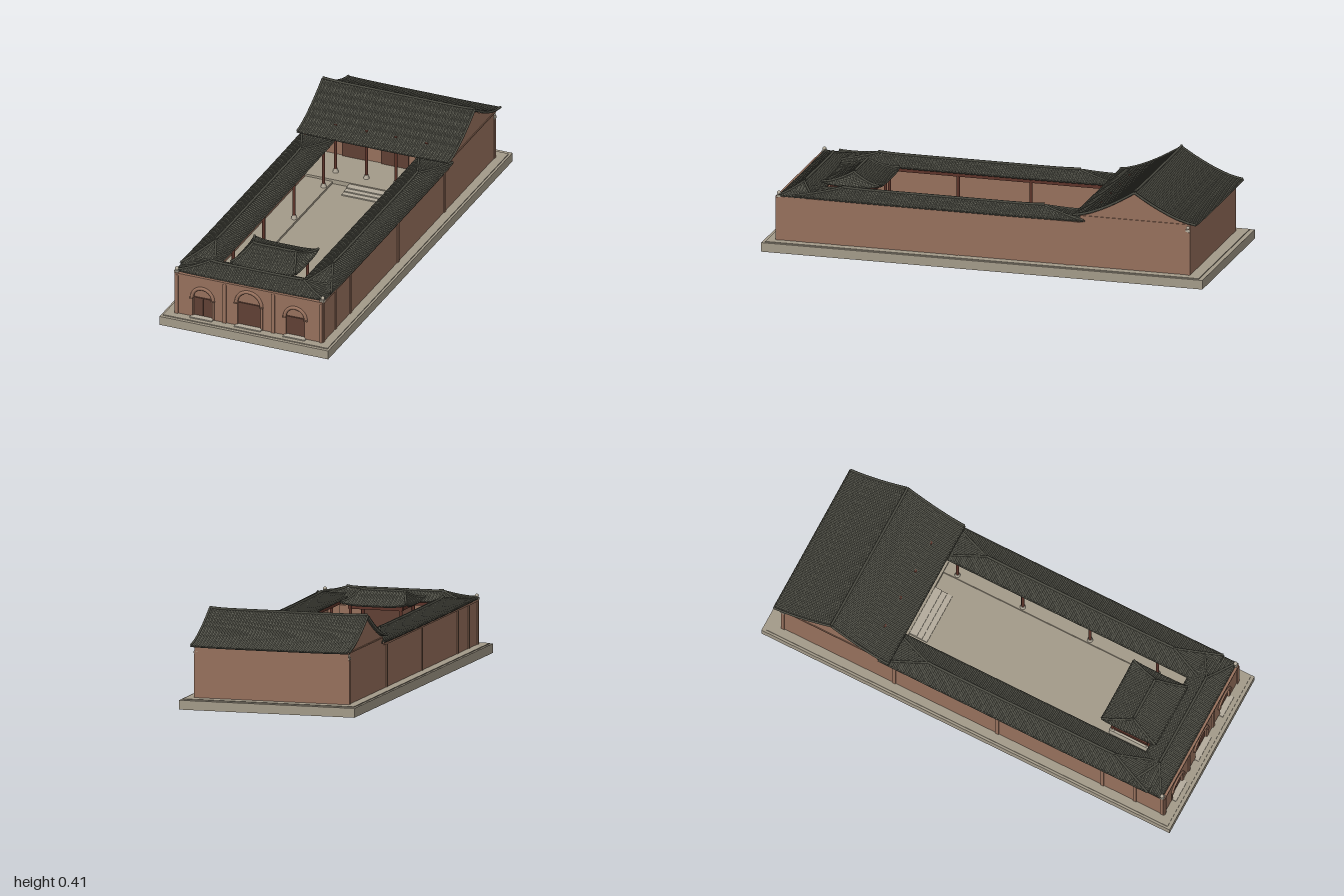
import * as THREE from 'three';
import { mergeGeometries } from 'three/addons/utils/BufferGeometryUtils.js';
import { ParametricGeometry } from 'three/addons/geometries/ParametricGeometry.js';

const mat = (name, color, extra = {}) => Object.assign(new THREE.MeshStandardMaterial({ color, ...extra }), { name });
const M = {
  stone: mat('stone', 0xa39a89),
  paleStone: mat('pale stone', 0xb4ac9c),
  wall: mat('plaster wall', 0x96705c),
  door: mat('door wood', 0x5f4034),
  timber: mat('red timber', 0x5c3329),
  pan: mat('roof pan', 0x53534a, { side: THREE.DoubleSide }),
  tile: mat('tile rib', 0x5f5f54),
  ridge: mat('ridge tile', 0x4b4b42),
};

function add(parent, name, geometry, material, x = 0, y = 0, z = 0) {
  const m = new THREE.Mesh(geometry, material);
  m.name = name;
  m.position.set(x, y, z);
  parent.add(m);
  return m;
}

// box from its lower and upper corners
function block(parent, name, material, [x0, y0, z0], [x1, y1, z1]) {
  return add(parent, name, new THREE.BoxGeometry(x1 - x0, y1 - y0, z1 - z0), material,
    (x0 + x1) / 2, (y0 + y1) / 2, (z0 + z1) / 2);
}

const tube = (points, radius, sides = 5) =>
  new THREE.TubeGeometry(new THREE.CatmullRomCurve3(points), points.length + 1, radius, sides);

// Curved tiled roof with its ridge along x. W and L are half depth and half length,
// inset is how far the hips run in from each end (0 gives a gable roof).
function roof(parent, name, { W, L, inset, eave, top, power = 1.5, lift = 0, pitch = 0.0145, cap = 0.006 }) {
  const g = new THREE.Group();
  g.name = name;
  parent.add(g);
  const height = (t, s) => eave + (top - eave) * t ** power + lift * s ** 4 * (1 - t) ** 2;
  const slopePoint = (v, t, side) => {
    const s = Math.min(1, Math.abs(v) / (L - inset * t));
    return new THREE.Vector3(v, height(t, s), side * W * (1 - t));
  };
  const endPoint = (u, t, side) => {
    const s = t > 0.999 ? 0 : Math.min(1, Math.abs(u) / (W * (1 - t)));
    return new THREE.Vector3(side * (L - inset * t), height(t, s), u);
  };
  const range = (a, b, n) => Array.from({ length: n + 1 }, (_, i) => a + (b - a) * i / n);
  const pans = [], ribs = [], caps = [];

  for (const side of [-1, 1]) {
    // long slopes and their ribs
    pans.push(new ParametricGeometry((a, t, p) =>
      p.copy(slopePoint((2 * a - 1) * (L - inset * t), t, side)), 20, 8));
    const n = Math.round(2 * L / pitch);
    for (let i = 0; i <= n; i++) {
      const v = -L + 2 * L * i / n;
      const tMax = inset ? Math.min(1, (L - Math.abs(v)) / inset) : 1;
      if (tMax > 0.08) ribs.push(tube(range(0, tMax, 5).map(t => slopePoint(v, t, side)), 0.0042));
    }
    // hipped ends and their ribs
    if (inset) {
      pans.push(new ParametricGeometry((a, t, p) =>
        p.copy(endPoint((2 * a - 1) * W * (1 - t), t, side)), 10, 8));
      const m = Math.round(2 * W / pitch);
      for (let i = 1; i < m; i++) {
        const u = -W + 2 * W * i / m;
        ribs.push(tube(range(0, 1 - Math.abs(u) / W, 5).map(t => endPoint(u, t, side)), 0.0042));
      }
    }
    // hip or verge caps
    for (const end of [-1, 1]) {
      caps.push(tube(range(0, 1, 7).map(t =>
        slopePoint(end * (L - inset * t), t, side).add(new THREE.Vector3(0, cap * 0.5, 0))), cap * 0.9, 6));
    }
    // eave edges
    caps.push(tube(range(-L, L, 16).map(v => slopePoint(v, 0, side)), 0.004, 4));
    if (inset) caps.push(tube(range(-W, W, 8).map(u => endPoint(u, 0, side)), 0.004, 4));
  }
  // main ridge with slightly raised ends
  const R = L - inset;
  caps.push(tube(range(-R, R, 16).map(v =>
    new THREE.Vector3(v, top + cap * 0.5 + 0.005 * Math.abs(v / R) ** 10, 0)), cap, 6));

  pans.forEach(p => p.computeVertexNormals());
  add(g, 'roofPans', mergeGeometries(pans), M.pan);
  add(g, 'roofRibs', mergeGeometries(ribs), M.tile);
  add(g, 'ridgeCaps', mergeGeometries(caps), M.ridge);
  return g;
}

function column(parent, x, z, y0, y1) {
  const g = new THREE.Group();
  g.name = 'column';
  g.position.set(x, y0, z);
  parent.add(g);
  add(g, 'columnBase', new THREE.CylinderGeometry(0.009, 0.013, 0.018, 10), M.paleStone, 0, 0.009);
  add(g, 'columnShaft', new THREE.CylinderGeometry(0.007, 0.007, y1 - y0, 10), M.timber, 0, (y1 - y0) / 2);
}

export function createModel() {
  const model = new THREE.Group();
  model.name = 'courtyardTemple';

  // Plinth
  block(model, 'plinth', M.stone, [-0.4, 0, -1], [0.4, 0.041, 1]);
  block(model, 'plinthTop', M.stone, [-0.39, 0.041, -0.98], [0.39, 0.045, 0.985]);

  // Front wall with arched openings: [centre x, half width, spring height]
  const doors = [[-0.22, 0.044, 0.138], [0, 0.054, 0.157], [0.22, 0.044, 0.138]];
  const front = new THREE.Shape();
  front.moveTo(-0.35, 0.045).lineTo(0.35, 0.045).lineTo(0.35, 0.24).lineTo(-0.35, 0.24).closePath();
  for (const [x, w, y] of doors) {
    const hole = new THREE.Path();
    hole.moveTo(x - w, 0.046).lineTo(x - w, y).absarc(x, y, w, Math.PI, 0, true);
    hole.lineTo(x + w, 0.046).closePath();
    front.holes.push(hole);
  }
  add(model, 'frontWall', new THREE.ExtrudeGeometry(front, { depth: 0.02, bevelEnabled: false, curveSegments: 20 }),
    M.wall, 0, 0, 0.925);
  for (const [x, w, y] of doors) {
    const g = new THREE.Group();
    g.name = 'doorway';
    g.position.set(x, 0, 0);
    model.add(g);
    block(g, 'archPanel', M.wall, [-w - 0.01, y, 0.918], [w + 0.01, y + w + 0.01, 0.934]);
    for (const s of [-1, 1]) {
      const leaf = [0.0005, w].map(v => v * s).sort((a, b) => a - b);
      block(g, 'doorLeaf', M.door, [leaf[0], 0.045, 0.922], [leaf[1], y, 0.937]);
      block(g, 'archFoot', M.wall, [s * (w + 0.007) - 0.008, y - 0.004, 0.94], [s * (w + 0.007) + 0.008, y + 0.002, 0.955]);
      block(g, 'jamb', M.wall, [s * (w + 0.007) - 0.005, 0.045, 0.94], [s * (w + 0.007) + 0.005, y, 0.947]);
    }
    block(g, 'lintel', M.door, [-w, y - 0.005, 0.93], [w, y, 0.941]);
    add(g, 'archMoulding', new THREE.TorusGeometry(w + 0.006, 0.008, 8, 24, Math.PI), M.wall, 0, y, 0.945);
    block(g, 'doorStep', M.paleStone, [-w - 0.008, 0.045, 0.925], [w + 0.008, 0.05, 0.965]);
  }
  for (const x of [-0.342, -0.115, 0.115, 0.342])
    block(model, 'frontPilaster', M.wall, [x - 0.008, 0.045, 0.94], [x + 0.008, 0.235, 0.951]);
  block(model, 'frontCornice', M.wall, [-0.35, 0.232, 0.92], [0.35, 0.243, 0.95]);

  // Back wall
  block(model, 'backWall', M.wall, [-0.35, 0.045, -0.93], [0.35, 0.272, -0.912]);

  // Rear hall roof and floor
  const hall = { W: 0.28, L: 0.36, inset: 0, eave: 0.272, top: 0.398, power: 1.45, lift: 0.003 };
  roof(model, 'hallRoof', hall).position.z = -0.68;
  block(model, 'hallFloor', M.stone, [-0.33, 0.045, -0.912], [0.33, 0.065, -0.42]);
  for (let i = 0; i < 3; i++)
    block(model, 'hallStep', M.paleStone, [-0.12, 0.045, -0.42], [0.12, 0.06 - i * 0.005, -0.385 + i * 0.025]);

  // Gable outline follows the hall roof
  const gable = new THREE.Shape();
  gable.moveTo(-0.93, 0.24).lineTo(-0.43, 0.24);
  for (let i = -8; i <= 8; i++) {
    const u = -i / 8 * 0.25;
    gable.lineTo(-0.68 + u, 0.266 + 0.126 * (1 - Math.abs(u) / hall.W) ** 1.45);
  }
  gable.closePath();

  for (const s of [-1, 1]) {
    const near = (a, b) => [s * a, s * b].sort((p, q) => p - q);
    const strip = (name, material, a, b, y0, y1, z0, z1) => {
      const [x0, x1] = near(a, b);
      return block(model, name, material, [x0, y0, z0], [x1, y1, z1]);
    };
    // Side walls, gables and pilasters
    strip('sideWall', M.wall, 0.33, 0.35, 0.045, 0.24, -0.93, 0.945);
    add(model, 'gableWall', new THREE.ExtrudeGeometry(gable, { depth: 0.02, bevelEnabled: false }).rotateY(-Math.PI / 2),
      M.wall, s > 0 ? 0.35 : -0.33);
    strip('gableBand', M.wall, 0.345, 0.354, 0.268, 0.274, -0.925, -0.44);
    strip('wallCoping', M.wall, 0.33, 0.354, 0.234, 0.243, -0.42, 0.94);
    for (const z of [-0.92, -0.375, 0.13, 0.645, 0.805, 0.937])
      strip('sidePilaster', M.wall, 0.345, 0.354, 0.045, 0.238, z - 0.008, z + 0.008);
    // Corner finials
    for (const z of [-0.92, 0.935]) {
      strip('finialBlock', M.paleStone, 0.334, 0.355, 0.24, 0.25, z - 0.01, z + 0.01);
      add(model, 'finialBall', new THREE.SphereGeometry(0.009, 10, 8), M.paleStone, s * 0.346, 0.258, z);
    }
    // Side gallery
    const gallery = roof(model, 'galleryRoof',
      { W: 0.081, L: 0.66, inset: 0.2, eave: 0.247, top: 0.28, power: 1.3, lift: 0.004 });
    gallery.position.set(s * 0.277, 0, 0.21);
    gallery.rotation.y = Math.PI / 2;
    strip('galleryFloor', M.stone, 0.2, 0.33, 0.045, 0.055, -0.42, 0.78);
    strip('galleryBeam', M.timber, 0.21, 0.222, 0.225, 0.247, -0.42, 0.79);
    for (const z of [-0.36, -0.04, 0.29, 0.62]) {
      column(model, s * 0.216, z, 0.055, 0.235);
      strip('crossBeam', M.timber, 0.216, 0.33, 0.222, 0.232, z - 0.005, z + 0.005);
    }
    // Hall columns and doors
    for (const x of [0.07, 0.216]) column(model, s * x, -0.49, 0.065, 0.3);
    strip('hallDoor', M.door, 0.002, 0.065, 0.065, 0.2, -0.65, -0.638);
    strip('hallSideDoor', M.door, 0.13, 0.25, 0.065, 0.19, -0.65, -0.638);
    // Stage columns
    for (const z of [0.572, 0.75]) column(model, s * 0.115, z, 0.09, 0.25);
    strip('stageSideRail', M.timber, 0.112, 0.118, 0.1, 0.118, 0.572, 0.75);
    strip('stageSideBeam', M.timber, 0.109, 0.121, 0.232, 0.25, 0.56, 0.77);
  }
  block(model, 'hallInnerWall', M.wall, [-0.33, 0.065, -0.665], [0.33, 0.3, -0.645]);
  block(model, 'hallBeam', M.timber, [-0.33, 0.26, -0.498], [0.33, 0.285, -0.482]);

  // Entrance range behind the front wall
  roof(model, 'gateRoof', { W: 0.078, L: 0.352, inset: 0.13, eave: 0.245, top: 0.28, power: 1.4, lift: 0.004 })
    .position.z = 0.857;
  block(model, 'gateFloor', M.stone, [-0.33, 0.045, 0.78], [0.33, 0.055, 0.925]);
  block(model, 'gateBeam', M.timber, [-0.33, 0.225, 0.79], [0.33, 0.245, 0.802]);

  // Stage pavilion facing the courtyard
  roof(model, 'stageRoof', { W: 0.132, L: 0.152, inset: 0.05, eave: 0.252, top: 0.303, power: 1.5, lift: 0.012 })
    .position.z = 0.668;
  block(model, 'stagePlatform', M.paleStone, [-0.125, 0.045, 0.56], [0.125, 0.09, 0.79]);
  block(model, 'stageFrontRail', M.timber, [-0.115, 0.095, 0.568], [0.115, 0.112, 0.574]);
  block(model, 'stageFrontBeam', M.timber, [-0.125, 0.232, 0.565], [0.125, 0.25, 0.577]);
  block(model, 'stageBackScreen', M.door, [-0.115, 0.09, 0.752], [0.115, 0.235, 0.758]);

  return model;
}
